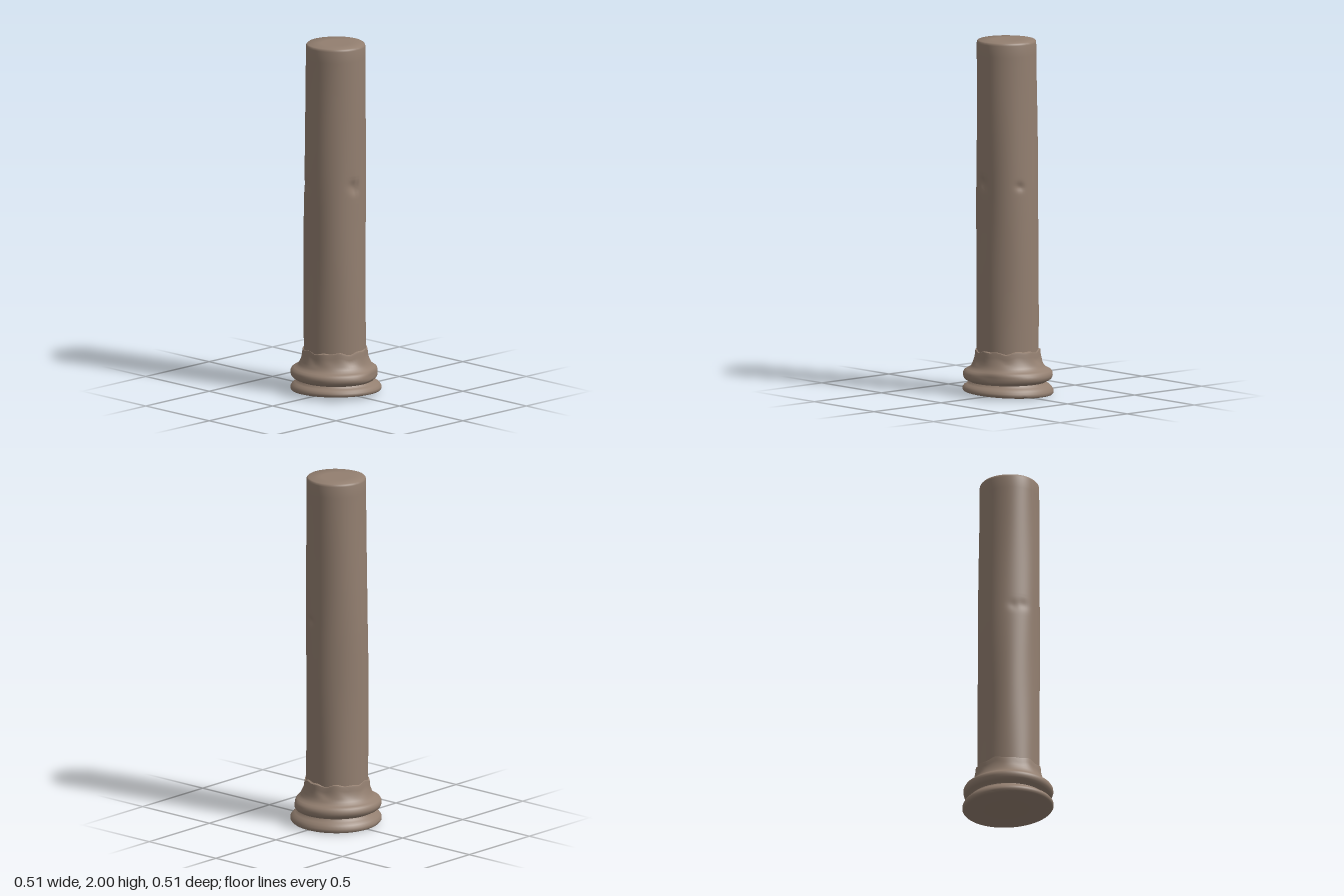
import * as THREE from 'three';
import { mergeVertices, toCreasedNormals } from 'three/addons/utils/BufferGeometryUtils.js';

const SEGMENTS = 72;
const bump = (d, w) => Math.exp(-(d * d) / (w * w));
const angleGap = (a, b) => Math.atan2(Math.sin(a - b), Math.cos(a - b));

// Turned solid whose points are then worn by a rule (angle 0 faces the front, +x is PI / 2)
function wornLathe(profile, wear, crease) {
  const lathe = new THREE.LatheGeometry(profile.map(([r, y]) => new THREE.Vector2(r, y)), SEGMENTS);
  lathe.deleteAttribute('uv');
  lathe.deleteAttribute('normal');
  const geo = mergeVertices(lathe, 1e-5);
  const p = geo.attributes.position;
  for (let i = 0; i < p.count; i++) {
    const x = p.getX(i), y = p.getY(i), z = p.getZ(i);
    p.setXYZ(i, ...wear(Math.hypot(x, z), y, Math.atan2(x, z)));
  }
  return toCreasedNormals(geo, crease);
}

// Dents along the old joint: angle, height, width, depth
const DENTS = [
  [-0.12, 1.21, 0.03, 0.012],
  [-0.06, 1.18, 0.025, 0.006],
  [1.27, 1.19, 0.022, 0.01],
  [-1.95, 1.2, 0.03, 0.005],
  [-2.3, 1.19, 0.03, 0.005],
];

function wearShaft(r, y, a) {
  let s = r;
  if (r > 0.1) {
    for (const [da, dy, w, depth] of DENTS) {
      s -= depth * bump(Math.hypot(angleGap(a, da) * 0.17, y - dy), w);
    }
    s += 0.0012 * Math.sin(3 * a + 4 * y) + 0.0008 * Math.sin(5 * a - 7 * y);
  }
  const lean = THREE.MathUtils.smoothstep(y, 0.9, 2);
  return [s * Math.sin(a) - 0.007, y, s * Math.cos(a) - 0.003 + 0.008 * lean];
}

function wearBase(r, y, a) {
  let s = r, h = y;
  const sx = Math.sin(a), cz = Math.cos(a);
  // Tilted underside
  h += 0.03 * r * (cz - sx) * (1 - THREE.MathUtils.smoothstep(y, 0.02, 0.09));
  // Chipped front of the upper ring
  const ring = bump(y - 0.115, 0.04) * THREE.MathUtils.smoothstep(r, 0.2, 0.25);
  s -= ring * (0.026 * bump(angleGap(a, 0.5), 0.5) + 0.003 * Math.sin(7 * a) * bump(angleGap(a, 0.3), 0.9));
  // Ragged upper lip
  if (y > 0.19) {
    s += 0.002 * Math.sin(9 * a) + 0.0015 * Math.sin(5 * a + 1);
    h += 0.005 * Math.sin(6 * a) + 0.004 * Math.sin(11 * a + 2);
  }
  const shift = -0.005 * THREE.MathUtils.smoothstep(y, 0.06, 0.14);
  return [s * sx + shift, h, s * cz + shift * 0.4];
}

export function createModel() {
  const group = new THREE.Group();
  const stone = new THREE.MeshStandardMaterial({ color: 0x937f70 });
  stone.name = 'brown stone';

  // Base: lower ring, groove, upper ring, flared collar
  const baseProfile = [
    [0, 0.012], [0.12, 0.012], [0.236, 0.012], [0.248, 0.015], [0.255, 0.024], [0.254, 0.036],
    [0.245, 0.05], [0.23, 0.061], [0.217, 0.069], [0.213, 0.076], [0.22, 0.083],
    [0.237, 0.088], [0.247, 0.098], [0.251, 0.112], [0.25, 0.126], [0.243, 0.138],
    [0.228, 0.147], [0.212, 0.155], [0.202, 0.168], [0.194, 0.185], [0.187, 0.205],
    [0.183, 0.225], [0.182, 0.243], [0.18, 0.252], [0.168, 0.257],
  ];
  const base = new THREE.Mesh(wornLathe(baseProfile, wearBase, 0.9), stone);
  base.name = 'mouldedBase';
  group.add(base);

  // Shaft: gentle taper, rows packed closely around the joint, eased top edge
  const shaftProfile = [];
  const radiusAt = (y) => 0.173 - 0.007 * THREE.MathUtils.smoothstep(y, 1.0, 2.0);
  for (let y = 0.2; y < 1.11; y += 0.1) shaftProfile.push([radiusAt(y), y]);
  for (let y = 1.13; y < 1.275; y += 0.01) shaftProfile.push([radiusAt(y), y]);
  for (let y = 1.32; y < 1.95; y += 0.1) shaftProfile.push([radiusAt(y), y]);
  shaftProfile.push([0.166, 1.985], [0.164, 1.994], [0.158, 2], [0.08, 2], [0, 2]);
  const shaft = new THREE.Mesh(wornLathe(shaftProfile, wearShaft, 0.9), stone);
  shaft.name = 'shaft';
  group.add(shaft);

  return group;
}
